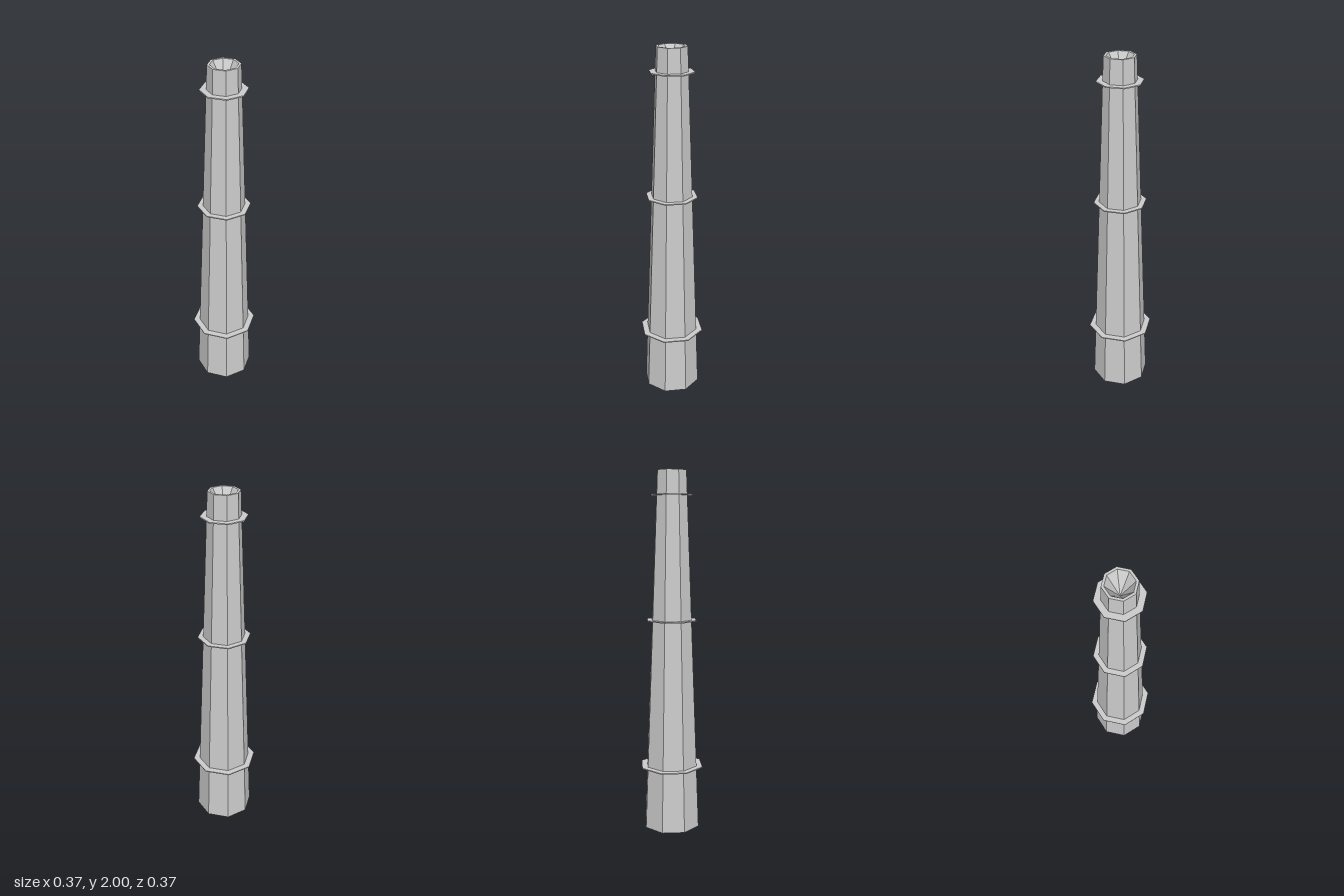
import * as THREE from 'three';

const SIDES = 8;
const HEIGHT = 2;
const BASE_R = 0.163;
const TOP_R = 0.084;

const material = new THREE.MeshStandardMaterial({
  color: 0xcccccc, flatShading: true, side: THREE.DoubleSide,
});

// Octagonal part turned from [radius, height] points
function turned(name, points) {
  const profile = points.map(([r, y]) => new THREE.Vector2(r, y));
  const mesh = new THREE.Mesh(new THREE.LatheGeometry(profile, SIDES), material);
  mesh.name = name;
  return mesh;
}

const wallRadius = (y) => THREE.MathUtils.lerp(BASE_R, TOP_R, y / HEIGHT);

export function createModel() {
  const group = new THREE.Group();
  group.name = 'chimney';

  // Tapering shaft, open below, with a flat rim and a pointed flue hollow
  group.add(turned('shaft', [
    [BASE_R, 0], [TOP_R, HEIGHT], [0.071, HEIGHT], [0, HEIGHT - 0.12],
  ]));

  // Thin collars around the shaft
  const collars = [
    ['lowerCollar', 0.355, 0.184],
    ['middleCollar', 1.19, 0.146],
    ['upperCollar', 1.87, 0.123],
  ];
  for (const [name, y, outer] of collars) {
    const inner = wallRadius(y) - 0.002;
    const y0 = y - 0.003;
    const y1 = y + 0.003;
    group.add(turned(name, [[inner, y0], [outer, y0], [outer, y1], [inner, y1]]));
  }

  return group;
}
